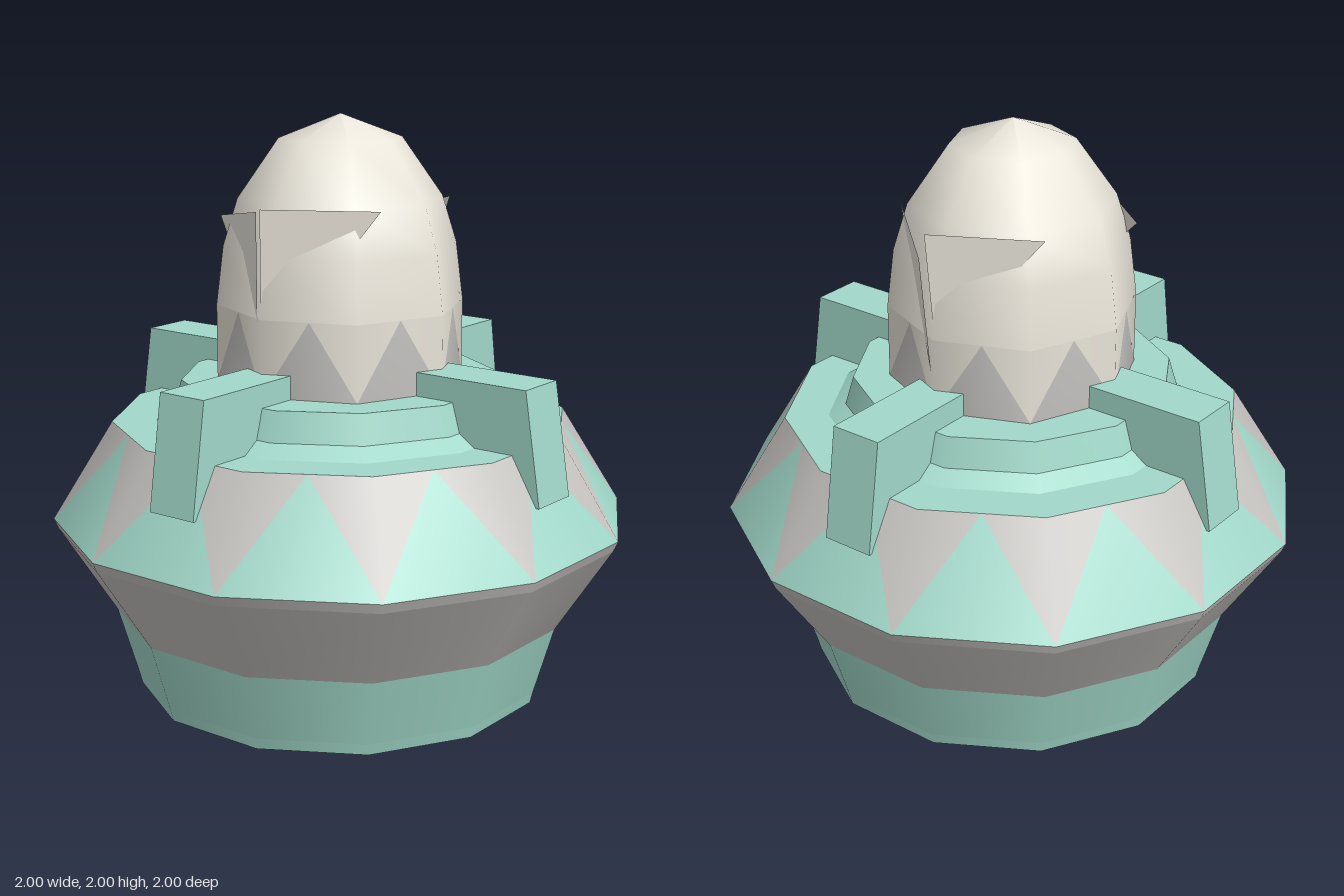
import * as THREE from 'three';

const mat = (color) => new THREE.MeshStandardMaterial({ color, side: THREE.DoubleSide });

export function createModel() {
  const group = new THREE.Group();
  const teal = mat(0xa2d9ca), grey = mat(0xc6c4c1), cream = mat(0xe9e5da);

  const add = (name, geometry, material, parent = group) => {
    const mesh = new THREE.Mesh(geometry, material);
    mesh.name = name;
    parent.add(mesh);
    return mesh;
  };

  // One smooth-sided ring of the faceted body, from (r0, y0) up to (r1, y1)
  const ring = (name, r0, y0, r1, y1, material) => {
    const g = new THREE.CylinderGeometry(r1, r0, y1 - y0, 12, 1, true);
    g.translate(0, (y0 + y1) / 2, 0);
    add(name, g, material);
  };

  // Flat annulus or disc, facing up or down
  const deck = (name, inner, outer, y, up, material) => {
    const profile = [new THREE.Vector2(outer, y), new THREE.Vector2(inner, y)];
    if (!up) profile.reverse();
    add(name, new THREE.LatheGeometry(profile, 12), material);
  };

  // Band of alternating triangles: upright ones in one colour, inverted in the other
  const zigzag = (name, n, r0, y0, r1, y1, upright, inverted) => {
    const sets = [{ p: [], n: [] }, { p: [], n: [] }];
    const normalAt = (a) => new THREE.Vector3(
      Math.sin(a) * (y1 - y0), r0 - r1, Math.cos(a) * (y1 - y0)).normalize();
    const triangle = (set, corners) => corners.forEach(([i, r, y]) => {
      const a = (i / n) * Math.PI * 2;
      // half steps lie on the middle of a facet edge
      const rr = i % 1 ? r * Math.cos(Math.PI / n) : r;
      set.p.push(Math.sin(a) * rr, y, Math.cos(a) * rr);
      set.n.push(...normalAt(a).toArray());
    });
    for (let i = 0; i < n; i++) {
      triangle(sets[0], [[i, r0, y0], [i + 1, r0, y0], [i + 0.5, r1, y1]]);
      triangle(sets[1], [[i, r0, y0], [i + 0.5, r1, y1], [i, r1, y1]]);
      triangle(sets[1], [[i + 1, r0, y0], [i + 1, r1, y1], [i + 0.5, r1, y1]]);
    }
    sets.forEach((set, k) => {
      const g = new THREE.BufferGeometry();
      g.setAttribute('position', new THREE.Float32BufferAttribute(set.p, 3));
      g.setAttribute('normal', new THREE.Float32BufferAttribute(set.n, 3));
      add(name + (k ? 'Inverted' : 'Upright'), g, k ? inverted : upright);
    });
  };

  // Twelve-sided body
  deck('baseUnderside', 0, 0.71, 0, false, teal);
  ring('baseRim', 0.71, 0, 0.72, 0.04, teal);
  ring('base', 0.72, 0.04, 0.79, 0.28, teal);
  ring('lowerBody', 0.79, 0.28, 0.985, 0.585, grey);
  ring('bodyRim', 0.985, 0.585, 1, 0.62, grey);
  zigzag('shoulder', 12, 1, 0.62, 0.79, 0.96, teal, grey);

  // Stepped collar under the dome
  deck('shoulderDeck', 0.64, 0.79, 0.96, true, teal);
  ring('collarFlare', 0.64, 0.96, 0.58, 1.0, teal);
  ring('collarWall', 0.58, 1.0, 0.55, 1.1, teal);
  deck('collarTop', 0.38, 0.55, 1.1, true, teal);

  // Eight-sided dome with a zigzag skirt
  zigzag('domeSkirt', 8, 0.425, 1.1, 0.425, 1.36, grey, cream);
  const domeProfile = [
    [0.425, 1.36], [0.4, 1.56], [0.35, 1.72], [0.21, 1.92], [0, 2],
  ].map(([r, y]) => new THREE.Vector2(r, y));
  add('dome', new THREE.LatheGeometry(domeProfile, 8), cream);

  // Thin pointed plates lying against the dome
  const plates = [
    [-0.3, 1.72, 0.29, -0.3, 1.2, 0.29, 0.08, 1.72, 0.39],
    [0.37, 1.72, 0.03, 0.31, 1.25, -0.32, 0.34, 1.65, -0.31],
    [0.32, 1.72, -0.28, 0.29, 1.3, -0.29, -0.05, 1.72, -0.39],
    [-0.4, 1.65, -0.1, -0.31, 1.35, 0.28, -0.31, 1.71, 0.27],
  ];
  plates.forEach((points) => {
    const g = new THREE.BufferGeometry();
    g.setAttribute('position', new THREE.Float32BufferAttribute(points, 3));
    g.computeVertexNormals();
    add('domePlate', g, cream);
  });

  // Four diagonal brackets reaching from the dome over the shoulder
  const side = new THREE.Shape([
    [0.36, 1.18], [0.36, 1.04], [0.52, 1.04], [0.72, 0.8], [0.87, 0.8], [0.81, 1.18],
  ].map(([r, y]) => new THREE.Vector2(r, y)));
  const bracket = new THREE.ExtrudeGeometry(side, { depth: 0.184, bevelEnabled: false });
  bracket.translate(0, 0, -0.092);
  for (let i = 0; i < 4; i++) {
    add('bracket', bracket, teal).rotation.y = Math.PI / 4 + (i * Math.PI) / 2;
  }

  return group;
}
